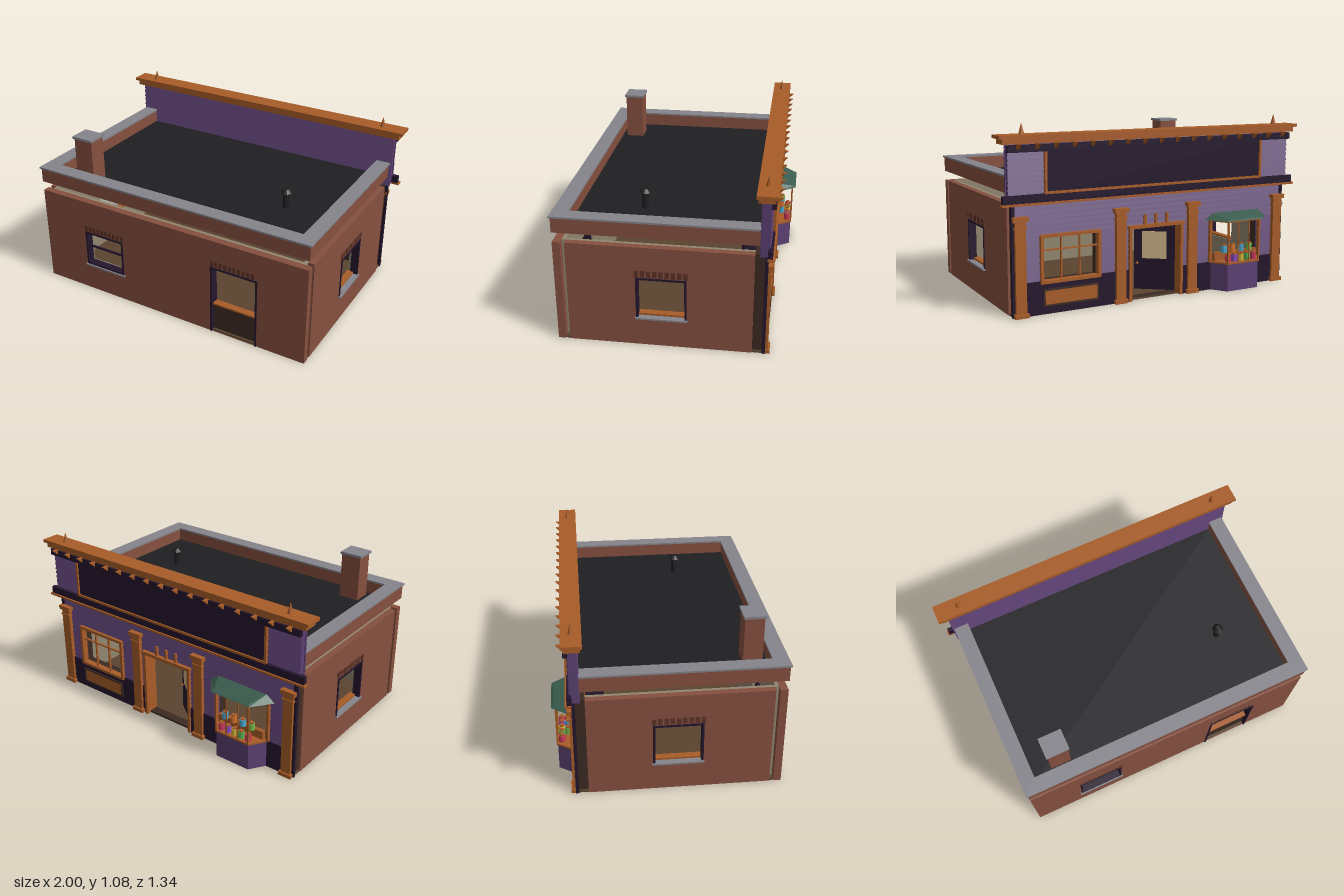
import * as THREE from 'three';

const C = {
  brick: 0x86503f, brickDark: 0x5e3328, trim: 0xa85c28, purple: 0x5c4072, dark: 0x24162c, brown: 0x3c2a22,
  grey: 0x84848b, roof: 0x1f1f22, lining: 0x90866f, green: 0x3a5c4e, floor: 0x5a4430, pane: 0xcdb48a,
};
const mats = {};
const mat = (c) => (mats[c] ??= new THREE.MeshStandardMaterial({ color: c, flatShading: true }));

export function createModel() {
  const root = new THREE.Group();
  const add = (name, geo, color, parent = root) => {
    const m = new THREE.Mesh(geo, mat(color));
    m.name = name;
    parent.add(m);
    return m;
  };
  // box given by its extents
  const box = (name, color, x0, x1, y0, y1, z0, z1, parent) => {
    const g = new THREE.BoxGeometry(x1 - x0, y1 - y0, z1 - z0);
    g.translate((x0 + x1) / 2, (y0 + y1) / 2, (z0 + z1) / 2);
    return add(name, g, color, parent);
  };
  const poly = (pts) => new THREE.Shape(pts.map((p) => new THREE.Vector2(...p)));
  const rect = (a, b, c, d) => [[a, c], [b, c], [b, d], [a, d]];
  // upright wall with rectangular openings [a0, a1, y0, y1]
  const wall = (name, color, a0, a1, y0, y1, depth, openings = []) => {
    const s = poly(rect(a0, a1, y0, y1));
    openings.forEach((o) => s.holes.push(poly(rect(...o))));
    return add(name, new THREE.ExtrudeGeometry(s, { depth, bevelEnabled: false }), color);
  };
  // rectangular frame facing z
  const frame = (name, color, x0, x1, y0, y1, t, z0, z1) => {
    wall(name, color, x0, x1, y0, y1, z1 - z0, [[x0 + t, x1 - t, y0 + t, y1 - t]]).position.z = z0;
  };
  // overlapping wedge boards facing dir (-1 or 1) from plane z
  const siding = (x0, x1, y0, y1, z, dir = -1) => {
    const n = Math.max(1, Math.round((y1 - y0) / 0.032));
    const h = (y1 - y0) / n;
    for (let i = 0; i < n; i++) {
      const y = y0 + i * h;
      const p = [[0, y], [0.015, y], [0.006, y + h], [0, y + h]];
      const g = new THREE.ExtrudeGeometry(poly(p), { depth: x1 - x0, bevelEnabled: false });
      g.rotateY(-dir * Math.PI / 2);
      g.translate(dir < 0 ? x0 + (x1 - x0) : x0, 0, z);
      // board runs along x starting from the matching end
      g.computeBoundingBox();
      g.translate(x0 - g.boundingBox.min.x, 0, 0);
      add('sidingBoard', g, C.purple);
    }
  };

  // floor and brick shell
  box('floor', C.floor, -0.92, 0.92, 0, 0.012, -0.53, 0.65);
  const backWin = [-0.61, -0.325, 0.185, 0.42], backDoor = [0.305, 0.615, 0.001, 0.455];
  const sideWin = [-0.1, 0.188, 0.18, 0.44];
  wall('rearWall', C.brick, -0.925, 0.925, 0, 0.63, 0.045, [backWin, backDoor]).position.z = 0.61;
  wall('rearLining', C.lining, -0.88, 0.88, 0, 0.63, 0.02, [backWin, backDoor]).position.z = 0.59;
  for (const s of [-1, 1]) {
    // extruded along z then turned so that shape x becomes -z
    const o = [-sideWin[1], -sideWin[0], sideWin[2], sideWin[3]];
    const w = wall('sideWall', C.brick, -0.585, 0.475, 0, 0.63, 0.04, [o]);
    w.rotation.y = Math.PI / 2;
    w.position.x = s > 0 ? 0.885 : -0.925;
    const l = wall('sideLining', C.lining, -0.61, 0.475, 0, 0.63, 0.02, [o]);
    l.rotation.y = Math.PI / 2;
    l.position.x = s > 0 ? 0.865 : -0.885;
    const g = new THREE.Group();
    g.name = 'sideWindow';
    g.position.set(s * 0.922, 0, 0.044);
    g.rotation.y = s * Math.PI / 2;
    root.add(g);
    box('sideWindowJamb', C.dark, -0.145, -0.133, 0.18, 0.44, -0.04, 0.008, g);
    box('sideWindowJamb', C.dark, 0.133, 0.145, 0.18, 0.44, -0.04, 0.008, g);
    box('sideWindowHead', C.dark, -0.145, 0.145, 0.428, 0.44, -0.04, 0.008, g);
    box('sideWindowSill', C.grey, -0.15, 0.15, 0.174, 0.184, -0.03, 0.018, g);
    box('sideInnerSill', C.trim, -0.14, 0.14, 0.184, 0.196, -0.06, -0.02, g);
    for (let i = 0; i < 9; i++) {
      const x = -0.14 + i * 0.035;
      box('lintelBrick', C.brickDark, x - 0.012, x + 0.012, 0.445, 0.485, -0.01, i % 2 ? 0.004 : 0.008, g);
    }
  }
  // rear window and half door
  frame('rearWindowFrame', C.dark, -0.61, -0.325, 0.185, 0.42, 0.011, 0.61, 0.66);
  box('rearWindowRail', C.dark, -0.6, -0.335, 0.305, 0.314, 0.625, 0.64);
  box('rearWindowSill', C.grey, -0.62, -0.318, 0.174, 0.185, 0.62, 0.668);
  for (const x of [0.305, 0.604]) box('rearDoorJamb', C.dark, x, x + 0.011, 0, 0.455, 0.6, 0.66);
  box('rearDoorHead', C.dark, 0.305, 0.615, 0.444, 0.455, 0.6, 0.66);
  box('halfDoor', C.brown, 0.316, 0.604, 0.005, 0.188, 0.615, 0.635);
  box('halfDoorShelf', C.trim, 0.316, 0.604, 0.186, 0.196, 0.6, 0.645);
  for (const [a, b, y] of [[-0.61, -0.325, 0.425], [0.305, 0.615, 0.46]]) {
    for (let x = a + 0.01; x < b; x += 0.03)
      box('lintelBrick', C.brickDark, x - 0.01, x + 0.01, y, y + 0.038, 0.65, 0.659);
  }

  // roof, parapet, chimney and vent
  box('roofDeck', C.roof, -0.85, 0.85, 0.69, 0.7, -0.5, 0.575);
  const ring = (name, color, hx, z1, inx, inz, y, h) => {
    const s = poly([[-hx, -z1], [hx, -z1], [hx, 0.502], [inx, 0.502], [inx, -inz], [-inx, -inz], [-inx, 0.502], [-hx, 0.502]]);
    const g = new THREE.ExtrudeGeometry(s, { depth: h, bevelEnabled: false });
    g.rotateX(-Math.PI / 2);
    add(name, g, color).position.y = y;
  };
  ring('parapet', C.brick, 0.927, 0.655, 0.85, 0.575, 0.69, 0.09);
  ring('parapetCoping', C.grey, 0.935, 0.663, 0.845, 0.57, 0.78, 0.011);
  box('chimney', C.brick, -0.733, -0.605, 0.7, 0.987, 0.43, 0.543);
  box('chimneyCap', C.grey, -0.742, -0.598, 0.985, 1, 0.422, 0.552);
  add('ventPipe', new THREE.CylinderGeometry(0.02, 0.02, 0.1, 12), C.roof).position.set(0.553, 0.75, 0.193);
  add('ventCap', new THREE.CylinderGeometry(0.014, 0.034, 0.022, 12), C.roof).position.set(0.553, 0.808, 0.193);

  // street facade
  const shopWin = [0.4, 0.745, 0.19, 0.44], bayOpen = [-0.735, -0.385, 0.18, 0.44], door = [-0.16, 0.19, 0.013, 0.44];
  wall('facadeBacking', C.brown, -0.91, 0.91, 0, 0.63, 0.055, [shopWin, bayOpen, door]).position.z = -0.53;
  for (const [a, b] of [[-0.91, -0.735], [-0.385, -0.16], [0.19, 0.4], [0.745, 0.91]]) siding(a, b, 0.17, 0.44, -0.53);
  siding(-0.91, 0.91, 0.44, 0.63, -0.53);
  box('wainscot', C.dark, -0.91, -0.16, 0, 0.175, -0.55, -0.53);
  box('wainscot', C.dark, 0.19, 0.91, 0, 0.19, -0.55, -0.53);
  for (const s of [-1, 1]) box('cornerBoard', C.dark, s * 0.917 - 0.01, s * 0.917 + 0.01, 0, 0.63, -0.549, -0.53);
  for (const x of [-0.88, -0.24, 0.255, 0.88]) {
    box('pilaster', C.trim, x - 0.032, x + 0.032, 0, 0.565, -0.565, -0.53);
    box('pilasterBase', C.trim, x - 0.042, x + 0.042, 0, 0.024, -0.575, -0.53);
    box('pilasterNeck', C.trim, x - 0.038, x + 0.038, 0.5, 0.51, -0.57, -0.53);
    box('pilasterCap', C.trim, x - 0.046, x + 0.046, 0.54, 0.566, -0.576, -0.53);
  }
  // shop window
  frame('shopWindowFrame', C.trim, 0.385, 0.76, 0.175, 0.455, 0.018, -0.56, -0.52);
  for (const x of [0.515, 0.63]) box('shopWindowBar', C.trim, x - 0.004, x + 0.004, 0.19, 0.44, -0.548, -0.535);
  box('shopWindowBar', C.trim, 0.4, 0.745, 0.361, 0.369, -0.548, -0.535);
  box('windowPanel', C.trim, 0.41, 0.735, 0.055, 0.135, -0.556, -0.54);
  frame('panelFrame', C.brown, 0.4, 0.745, 0.045, 0.145, 0.01, -0.56, -0.54);
  // entrance with the door standing ajar
  for (const x of [-0.172, 0.18]) box('entranceJamb', C.trim, x, x + 0.018, 0, 0.45, -0.56, -0.47);
  box('entranceHead', C.trim, -0.178, 0.204, 0.435, 0.455, -0.565, -0.47);
  for (const x of [-0.06, 0.015, 0.09]) box('entranceOrnament', C.trim, x - 0.007, x + 0.007, 0.455, 0.515, -0.557, -0.53);
  const leaf = new THREE.Group();
  leaf.name = 'entranceDoor';
  leaf.position.set(-0.15, 0, -0.5);
  leaf.rotation.y = -0.65;
  root.add(leaf);
  box('doorLeaf', C.dark, 0, 0.25, 0.015, 0.43, -0.009, 0.009, leaf);
  box('doorPane', C.pane, 0.05, 0.2, 0.21, 0.38, -0.012, 0.012, leaf);
  add('doorKnob', new THREE.SphereGeometry(0.009, 10, 8), C.trim, leaf).position.set(0.23, 0.18, -0.016);

  // bay window: trapezoid slab from half widths at the wall and at the front
  const bx = -0.56;
  const slab = (name, color, back, front, z, y0, y1) => {
    const g = new THREE.ExtrudeGeometry(poly([[-back, 0.54], [back, 0.54], [front, -z], [-front, -z]].reverse()),
      { depth: y1 - y0, bevelEnabled: false });
    g.rotateX(-Math.PI / 2);
    add(name, g, color).position.set(bx, y0, 0);
  };
  slab('bayBase', C.purple, 0.185, 0.115, -0.643, 0, 0.17);
  slab('baySill', C.trim, 0.192, 0.12, -0.65, 0.17, 0.181);
  slab('bayHead', C.trim, 0.192, 0.12, -0.65, 0.432, 0.446);
  for (const s of [-1, 1]) {
    box('bayPost', C.trim, bx + s * 0.115 - 0.005, bx + s * 0.115 + 0.005, 0.18, 0.435, -0.65, -0.64);
    box('bayWallPost', C.trim, bx + s * 0.185 - 0.008, bx + s * 0.185 + 0.008, 0.175, 0.446, -0.56, -0.53);
    box('bayBar', C.trim, bx + s * 0.04 - 0.003, bx + s * 0.04 + 0.003, 0.18, 0.435, -0.648, -0.642);
  }
  // hipped bay roof, a slab with its upper edge drawn back to the wall
  const hip = new THREE.BoxGeometry(2, 1, 1);
  const hp = hip.attributes.position;
  for (let i = 0; i < hp.count; i++) {
    const sx = Math.sign(hp.getX(i)), top = hp.getY(i) > 0, out = hp.getZ(i) < 0;
    const half = top ? (out ? 0.125 : 0.17) : out ? 0.135 : 0.225;
    hp.setXYZ(i, bx + sx * half, top ? (out ? 0.452 : 0.482) : 0.443, out ? (top ? -0.655 : -0.669) : -0.55);
  }
  hip.computeVertexNormals();
  add('bayRoof', hip, C.green);
  // jars in two tiers
  box('jarShelf', C.trim, bx - 0.16, bx + 0.16, 0.18, 0.233, -0.565, -0.54);
  const jar = (x, y, z, color) => {
    add('jar', new THREE.CylinderGeometry(0.019, 0.019, 0.042, 12), color).position.set(x, y + 0.021, z);
    add('jarLid', new THREE.CylinderGeometry(0.014, 0.014, 0.009, 12), C.trim).position.set(x, y + 0.046, z);
  };
  [0x4aa8d0, 0xd8742c, 0x4aa8d0, 0x6cb84a].forEach((c, i) => jar(bx + 0.1 - i * 0.064, 0.233, -0.577, c));
  [0xc8385a, 0x8a4cc0, 0xd8b838, 0x58b050, 0xc8385a].forEach((c, i) => jar(bx + 0.096 - i * 0.048, 0.181, -0.617, c));

  // false front with sign board
  box('falseFront', C.purple, -0.94, 0.94, 0.63, 0.967, -0.545, -0.515);
  siding(-0.945, 0.945, 0.63, 0.967, -0.545);
  siding(-0.945, 0.945, 0.63, 0.967, -0.515, 1);
  box('lowerFrieze', C.dark, -0.98, 0.98, 0.64, 0.686, -0.572, -0.545);
  box('lowerLedge', C.trim, -0.99, 0.99, 0.629, 0.641, -0.582, -0.545);
  box('upperFrieze', C.dark, -0.95, 0.95, 0.92, 0.96, -0.58, -0.555);
  box('signBoard', C.dark, -0.72, 0.72, 0.686, 0.93, -0.566, -0.55);
  frame('signFrame', C.trim, -0.735, 0.735, 0.684, 0.935, 0.014, -0.575, -0.55);

  // cornice, brackets and finials
  box('corniceLower', C.trim, -0.98, 0.98, 0.965, 0.996, -0.577, -0.485);
  box('corniceUpper', C.trim, -1, 1, 0.995, 1.014, -0.59, -0.475);
  for (let i = 0; i < 17; i++) {
    const g = new THREE.ExtrudeGeometry(poly([[0.555, 0.967], [0.555, 0.92], [0.58, 0.935], [0.614, 0.967]]),
      { depth: 0.018, bevelEnabled: false });
    g.rotateY(Math.PI / 2);
    add('bracket', g, C.trim).position.x = -0.897 + i * 0.1113;
  }
  for (const x of [-0.853, 0.853]) {
    add('finial', new THREE.ConeGeometry(0.017, 0.066, 12), C.trim).position.set(x, 1.045, -0.532);
  }
  return root;
}
